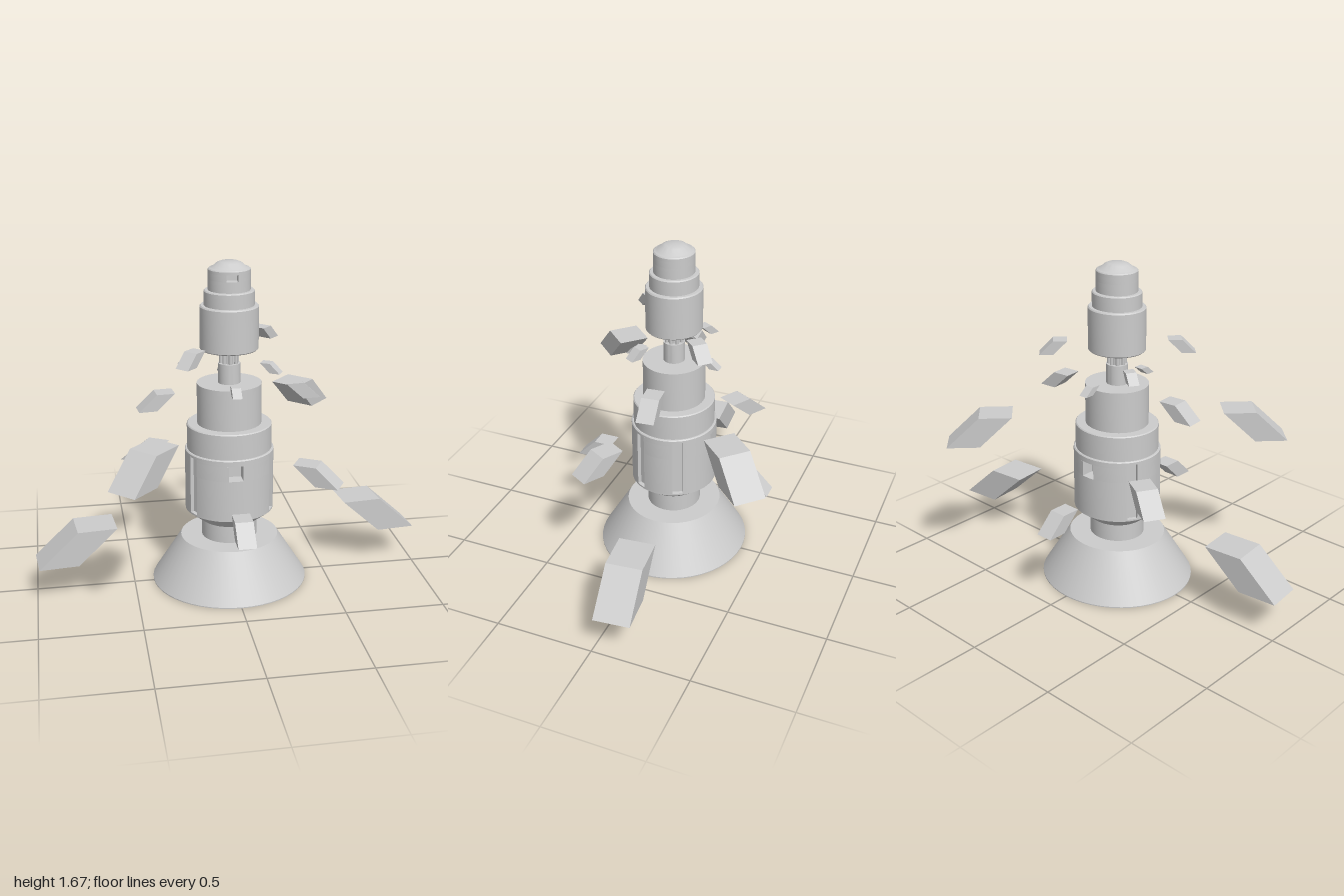
import * as THREE from 'three';
import { toCreasedNormals } from 'three/addons/utils/BufferGeometryUtils.js';

const SEG = 48;
const rad = THREE.MathUtils.degToRad;

export function createModel() {
  const model = new THREE.Group();
  model.name = 'towerStation';
  const material = new THREE.MeshStandardMaterial({ color: 0xcccccc });
  const flat = new THREE.MeshStandardMaterial({ color: 0xcccccc, flatShading: true });

  // The tower is slightly narrower front to back
  const tower = new THREE.Group();
  tower.name = 'tower';
  tower.position.z = -0.01;
  tower.scale.z = 0.954;
  model.add(tower);

  function add(parent, name, geometry, mat = material) {
    const mesh = new THREE.Mesh(geometry, mat);
    mesh.name = name;
    parent.add(mesh);
    return mesh;
  }

  // Turned solid from [radius, height] pairs, bottom to top
  function turned(name, profile) {
    const points = profile.map(([r, y]) => new THREE.Vector2(r, y));
    add(tower, name, toCreasedNormals(new THREE.LatheGeometry(points, SEG), rad(25)));
  }

  // Round slab from y0 to y1 with notches { angle, half, depth } cut into its rim
  function notchedSlab(name, r, y0, y1, notches) {
    const points = [];
    const cuts = notches.map(n => ({ ...n, a: rad(n.angle), da: Math.asin(n.half / r) }));
    const rim = a => points.push(new THREE.Vector2(r * Math.cos(a), r * Math.sin(a)));
    const steps = [];
    for (let i = 0; i < SEG; i++) {
      const a = (i / SEG) * Math.PI * 2;
      if (!cuts.some(c => Math.abs(a - c.a) <= c.da + 0.01)) steps.push({ a });
    }
    cuts.forEach(c => steps.push({ a: c.a, cut: c }));
    steps.sort((p, q) => p.a - q.a);
    for (const { a, cut } of steps) {
      if (!cut) { rim(a); continue; }
      rim(a - cut.da);
      const inner = r * Math.cos(cut.da) - cut.depth;
      for (const side of [-cut.half, cut.half]) {
        points.push(new THREE.Vector2(inner, side).rotateAround(new THREE.Vector2(), a));
      }
      rim(a + cut.da);
    }
    const geometry = new THREE.ExtrudeGeometry(new THREE.Shape(points),
      { depth: y1 - y0, bevelEnabled: false });
    geometry.rotateX(-Math.PI / 2).translate(0, y0, 0);
    add(tower, name, toCreasedNormals(geometry, rad(25)));
  }

  // Base cone and neck, flaring into the underside of the lower body
  turned('baseCone', [[0, 0], [0.4, 0], [0.4, 0.005], [0.251, 0.242], [0, 0.242]]);
  turned('lowerNeck', [[0.142, 0.24], [0.142, 0.332], [0.225, 0.396], [0.225, 0.405], [0, 0.405]]);

  // Lower body with side slots and a window front and back
  const slots = [28, 152, 208, 332].map(angle => ({ angle, half: 0.027, depth: 0.02 }));
  const windows = [90, 270].map(angle => ({ angle, half: 0.036, depth: 0.07 }));
  notchedSlab('lowerBody', 0.225, 0.405, 0.612, slots);
  notchedSlab('windowBand', 0.225, 0.612, 0.692, [...slots, ...windows]);
  notchedSlab('bodyTop', 0.225, 0.692, 0.706, slots);
  turned('bodyRim', [[0, 0.706], [0.225, 0.706], [0.225, 0.718], [0.22, 0.723], [0, 0.723]]);

  // Stepped drums and upper neck
  turned('collar', [[0.214, 0.72], [0.214, 0.849], [0.209, 0.854], [0, 0.854]]);
  turned('upperDrum', [[0.162, 0.85], [0.162, 1.062], [0, 1.062]]);
  turned('upperNeck', [[0.055, 1.06], [0.055, 1.163], [0, 1.163]]);

  // Strut cluster carrying the head
  turned('strutCore', [[0.036, 1.16], [0.036, 1.24]]);
  for (let i = 0; i < 8; i++) {
    const a = (i / 8) * Math.PI * 2;
    const strut = add(tower, 'strut', new THREE.CylinderGeometry(0.009, 0.009, 0.08, 8));
    strut.position.set(0.041 * Math.cos(a), 1.2, 0.041 * Math.sin(a));
  }

  // Head drums, front window and domed cap
  turned('head', [[0, 1.235], [0.14, 1.235], [0.145, 1.24], [0.145, 1.45], [0.14, 1.456], [0, 1.456]]);
  turned('headStep', [[0.124, 1.454], [0.124, 1.526], [0.119, 1.531], [0, 1.531]]);
  turned('cabinLower', [[0.104, 1.53], [0.104, 1.585], [0, 1.585]]);
  notchedSlab('cabinWindowBand', 0.104, 1.585, 1.618, [{ angle: 270, half: 0.028, depth: 0.04 }]);
  turned('cap', [[0, 1.618], [0.104, 1.618], [0.104, 1.632], [0.099, 1.637], [0.085, 1.641],
    [0.06, 1.662], [0.045, 1.668], [0, 1.67]]);

  // Floating slanted panels in opposite pairs:
  // [angle, inner radius, outer radius, bottom, top, width]
  const panels = [
    [5.6, 0.6, 0.995, 0.195, 0.376, 0.182],
    [46, 0.525, 0.853, 0.756, 0.911, 0.156],
    [150, 0.355, 0.587, 0.587, 0.687, 0.108],
    [5.6, 0.285, 0.465, 0.957, 1.04, 0.088],
    [45, 0.245, 0.382, 1.22, 1.288, 0.073],
    [90, 0.335, 0.527, 0.4, 0.495, 0.09],
    [90, 0.152, 0.245, 1.053, 1.093, 0.046],
    [150, 0.168, 0.268, 1.138, 1.186, 0.052],
  ];
  for (const [angle, inner, outer, bottom, top, width] of panels) {
    const w = (outer - inner) / 2, h = top - bottom;
    const geometry = new THREE.BoxGeometry(w, h, width);
    // Slant the box so its foot leans outward
    const shear = new THREE.Matrix4().set(1, -w / h, 0, 0, 0, 1, 0, 0, 0, 0, 1, 0, 0, 0, 0, 1);
    geometry.applyMatrix4(shear).translate((inner + outer) / 2, (top + bottom) / 2, 0);
    for (const turn of [0, 180]) {
      const panel = add(model, 'floatingPanel', geometry, flat);
      panel.rotation.y = rad(angle + turn);
      panel.position.z = -0.006;
    }
  }
  return model;
}
